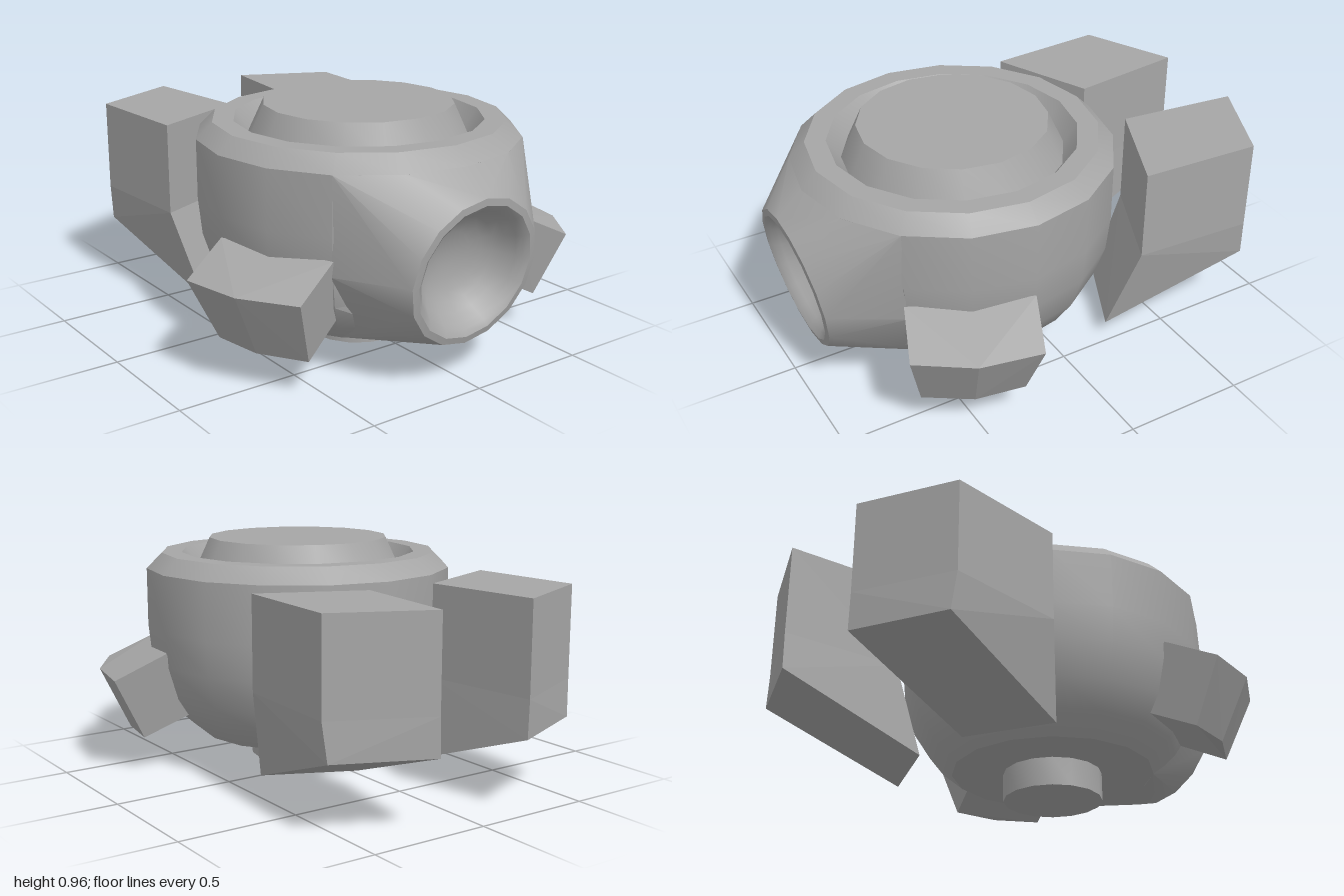
import * as THREE from 'three';
import { ConvexGeometry } from 'three/addons/geometries/ConvexGeometry.js';
import { toCreasedNormals } from 'three/addons/utils/BufferGeometryUtils.js';

const SIDES = 16;
const TILT = 0.15; // the eye looks slightly downward
const EYE = new THREE.Vector3(0, 0.45, 0.955);
const EYE_RADIUS = 0.3;

const vec = (p) => new THREE.Vector3(...p);
const lathe = (profile) =>
  new THREE.LatheGeometry(profile.map(([r, y]) => new THREE.Vector2(r, y)), SIDES);

export function createModel() {
  const model = new THREE.Group();
  model.name = 'roundPod';
  const grey = new THREE.MeshStandardMaterial({ color: 0xa6a6a6 });
  grey.name = 'plain grey';

  const add = (name, geometry, parent = model) => {
    const mesh = new THREE.Mesh(geometry, grey);
    mesh.name = name;
    parent.add(mesh);
    return mesh;
  };
  const hull = (points, side = 1) =>
    new ConvexGeometry(points.map(([x, y, z]) => new THREE.Vector3(x * side, y, z)));

  // Body with foot, chamfered shoulder, groove and raised lid
  const body = lathe([
    [0, 0], [0.21, 0], [0.21, 0.12], [0.43, 0.12], [0.525, 0.2], [0.595, 0.31],
    [0.64, 0.45], [0.655, 0.6], [0.655, 0.84], [0.59, 0.905], [0.505, 0.905],
    [0.45, 0.825], [0.385, 0.965], [0, 0.965],
  ]);
  body.translate(0, 0, 0.235);
  // Flatten the wall behind the eye so the dish has room
  const pos = body.attributes.position;
  for (let i = 0; i < pos.count; i++) {
    if (pos.getY(i) > 0.15 && pos.getY(i) < 0.8) pos.setZ(i, Math.min(pos.getZ(i), 0.7));
  }
  add('body', toCreasedNormals(body, 0.5));

  // Snout: hull from the body's front to the tilted eye rim, left open at the rim
  const points = [[0, 0.84, 0.89], [0, 0.12, 0.665]];
  for (const s of [-1, 1]) {
    points.push([s * 0.25, 0.84, 0.84], [s * 0.465, 0.84, 0.698],
      [s * 0.46, 0.45, 0.69], [s * 0.3, 0.12, 0.54]);
  }
  for (let i = 0; i < SIDES; i++) {
    const a = (i / SIDES) * Math.PI * 2;
    const up = EYE_RADIUS * Math.cos(a);
    points.push([EYE_RADIUS * Math.sin(a), EYE.y + up * Math.cos(TILT), EYE.z + up * Math.sin(TILT)]);
  }
  const closed = hull(points).attributes.position;
  const axis = new THREE.Vector3(0, -Math.sin(TILT), Math.cos(TILT));
  const open = [];
  for (let i = 0; i < closed.count; i += 3) {
    const tri = [0, 1, 2].map((k) => new THREE.Vector3().fromBufferAttribute(closed, i + k));
    if (tri.every((p) => p.clone().sub(EYE).dot(axis) > -0.001)) continue;
    tri.forEach((p) => open.push(p.x, p.y, p.z));
  }
  const snout = new THREE.BufferGeometry();
  snout.setAttribute('position', new THREE.Float32BufferAttribute(open, 3));
  add('snout', toCreasedNormals(snout, 0.45));

  // Eye rim and concave dish
  const dish = lathe([
    [EYE_RADIUS, 0], [0.272, 0.004], [0.25, -0.012], [0.235, -0.035], [0.21, -0.075],
    [0.18, -0.108], [0.145, -0.133], [0.1, -0.152], [0.05, -0.163], [0, -0.167],
  ]);
  dish.rotateX(Math.PI / 2 + TILT);
  dish.translate(EYE.x, EYE.y, EYE.z);
  add('eyeDish', toCreasedNormals(dish, 0.5));

  // Side pods: four long edges, each bent once
  const pod = [
    [0.66, 0.415, 0.78], [0.8, 0.412, 0.57], [0.85, 0.41, 0.315], // outer top
    [0.46, 0.515, 0.7], [0.65, 0.515, 0.235], // inner top
    [0.57, 0.15, 0.7], [0.685, 0.15, 0.525], [0.72, 0.15, 0.32], // outer bottom
    [0.38, 0.25, 0.62], [0.52, 0.25, 0.24], // inner bottom
  ];

  // Rear fins: horizontal sections from top to the sloping underside
  const section = (y) => [[0.215, y, -1], [0.6, y, -0.82], [0.57, y, -0.315], [0.155, y, -0.5]];
  const underside = [[0.21, 0.295, -1], [0.585, 0.295, -0.835], [0.48, 0.08, -0.22], [0.13, 0.08, -0.385]];

  for (const [label, s] of [['left', 1], ['right', -1]]) {
    add(label + 'SidePod', hull(pod, s));
    const fin = new THREE.Group();
    fin.name = label + 'RearFin';
    model.add(fin);
    add(label + 'FinUpper', hull([...section(0.83), ...section(0.45)], s), fin);
    add(label + 'FinLower', hull([...section(0.45), ...underside], s), fin);
  }
  return model;
}
